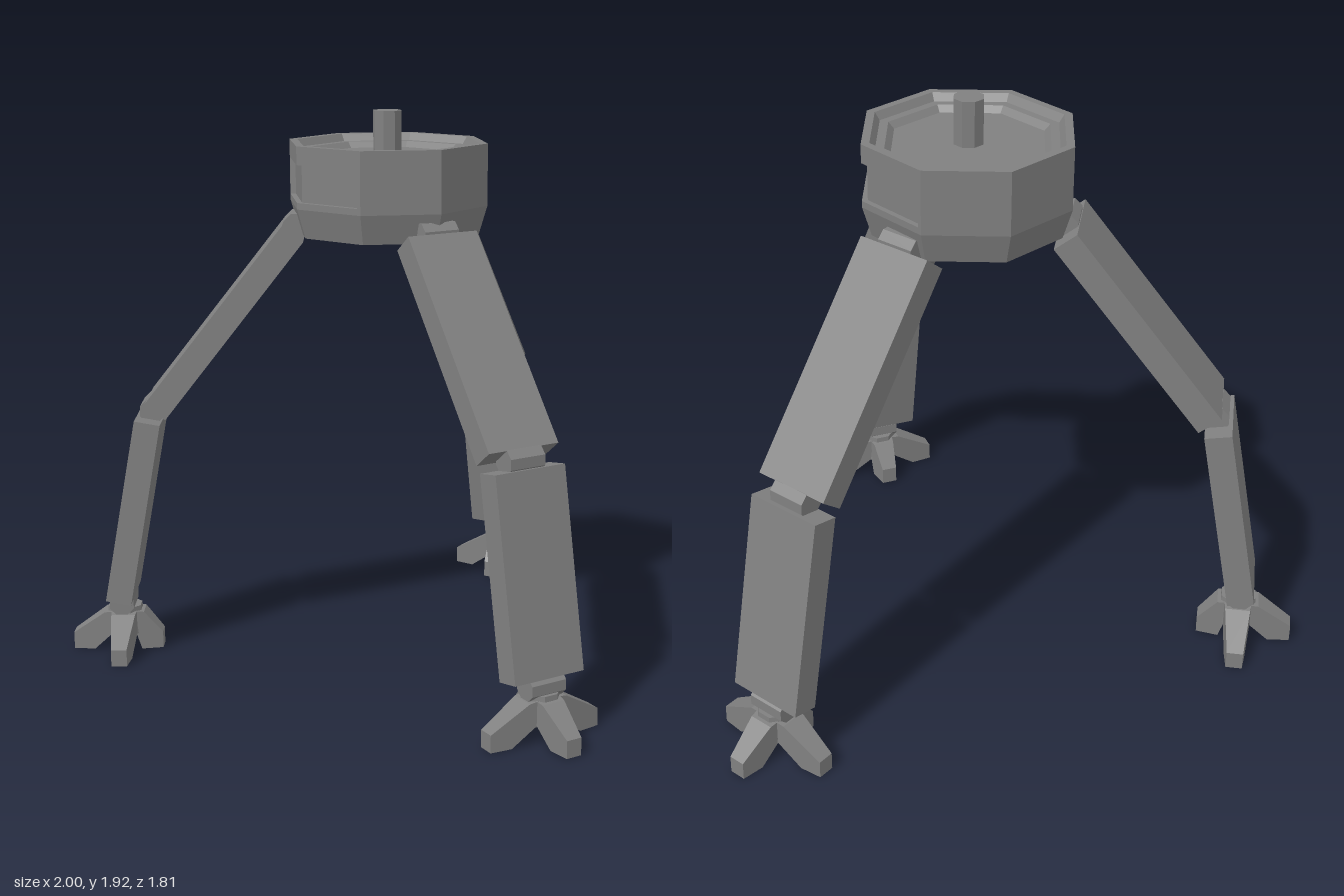
import * as THREE from 'three';

const grey = new THREE.MeshStandardMaterial({ color: 0x808080, flatShading: true });
grey.name = 'grey metal';

function add(parent, name, geometry) {
  const mesh = new THREE.Mesh(geometry, grey);
  mesh.name = name;
  parent.add(mesh);
  return mesh;
}

const lathe = (pts) => new THREE.LatheGeometry(pts.map(([r, y]) => new THREE.Vector2(r, y)), 8);

// Octagonal outline with a shallow panel recess wrapped around the +x and -x corners
function recessedOutline(radius, inset) {
  const corner = (k) => new THREE.Vector2(Math.cos(k * Math.PI / 4), Math.sin(k * Math.PI / 4)).multiplyScalar(radius);
  const pts = [];
  for (let k = 0; k < 8; k++) {
    if (k % 4) { pts.push(corner(k)); continue; }
    const a = corner(k - 1).lerp(corner(k), 0.05);
    const b = corner(k + 1).lerp(corner(k), 0.05);
    pts.push(a, a.clone().multiplyScalar(inset), corner(k).multiplyScalar(inset),
      b.clone().multiplyScalar(inset), b);
  }
  return new THREE.Shape(pts);
}

function makeBody() {
  const body = new THREE.Group();
  body.name = 'body';
  add(body, 'lowerHull', lathe([[0, 1.51], [0.32, 1.51], [0.35, 1.61], [0.35, 1.632], [0, 1.632]]));
  const band = new THREE.ExtrudeGeometry(recessedOutline(0.35, 0.945), { depth: 0.126, bevelEnabled: false });
  band.rotateX(-Math.PI / 2);
  add(body, 'panelBand', band).position.y = 1.632;
  // Raised rim stepping down to a sunken deck
  add(body, 'rimAndDeck', lathe([[0, 1.758], [0.35, 1.758], [0.35, 1.82], [0.322, 1.82],
    [0.305, 1.795], [0.275, 1.795], [0.255, 1.775], [0, 1.775]]));
  add(body, 'topPost', new THREE.CylinderGeometry(0.05, 0.05, 0.165, 8)).position.y = 1.8425;
  return body;
}

// Flat limb segment running between two [z, y] points
function addLimb(parent, name, [z0, y0], [z1, y1]) {
  const dz = z1 - z0, dy = y1 - y0;
  const limb = add(parent, name, new THREE.BoxGeometry(0.264, Math.hypot(dz, dy), 0.09));
  limb.position.set(0, (y0 + y1) / 2, (z0 + z1) / 2);
  limb.rotation.x = Math.atan2(-dz, -dy);
}

// Hinge pin lying across the leg
function addHinge(parent, name, z, y) {
  const geometry = new THREE.CylinderGeometry(0.046, 0.046, 0.13, 8);
  geometry.rotateY(Math.PI / 8);
  geometry.rotateZ(Math.PI / 2);
  add(parent, name, geometry).position.set(0, y, z);
}

// Bent toe reaching along +x, narrowing to the tip
function toeGeometry(length) {
  const tip = length - 0.075;
  const shape = new THREE.Shape([[0, 0.065], [0.04, 0.065], [tip, 0], [length, 0],
    [length, 0.06], [0.07, 0.14], [0, 0.15]].map(([x, y]) => new THREE.Vector2(x, y)));
  const geometry = new THREE.ExtrudeGeometry(shape, { depth: 0.1, bevelEnabled: false });
  geometry.translate(0, 0, -0.05);
  const p = geometry.attributes.position;
  for (let i = 0; i < p.count; i++) {
    p.setZ(i, p.getZ(i) * (1 - 0.45 * p.getX(i) / length));
  }
  geometry.computeVertexNormals();
  return geometry;
}

function makeFoot() {
  const foot = new THREE.Group();
  foot.name = 'foot';
  add(foot, 'footHub', new THREE.CylinderGeometry(0.062, 0.07, 0.1, 8).rotateY(Math.PI / 8)).position.y = 0.11;
  // Outer, two side and a shorter inner toe
  [0.185, 0.208, 0.135, 0.208].forEach((length, i) => {
    add(foot, 'toe', toeGeometry(length)).rotation.y = (i - 1) * Math.PI / 2;
  });
  return foot;
}

function makeLeg() {
  const leg = new THREE.Group();
  leg.name = 'leg';
  const centre = 0.235;
  addHinge(leg, 'hip', centre + 0.078, 1.538);
  addLimb(leg, 'upperLeg', [centre + 0.088, 1.52], [centre + 0.573, 0.903]);
  addHinge(leg, 'knee', centre + 0.59, 0.89);
  addLimb(leg, 'lowerLeg', [centre + 0.602, 0.863], [centre + 0.725, 0.207]);
  addHinge(leg, 'ankle', centre + 0.724, 0.18);
  const foot = makeFoot();
  foot.position.z = centre + 0.72;
  leg.add(foot);
  return leg;
}

export function createModel() {
  const model = new THREE.Group();
  model.name = 'tripodWalker';
  const rig = new THREE.Group();
  rig.name = 'walker';
  rig.position.z = -0.235;
  rig.add(makeBody());
  // Three legs evenly spaced around the body, one facing forward
  for (let i = 0; i < 3; i++) {
    const leg = makeLeg();
    leg.rotation.y = i * Math.PI * 2 / 3;
    rig.add(leg);
  }
  model.add(rig);
  return model;
}
